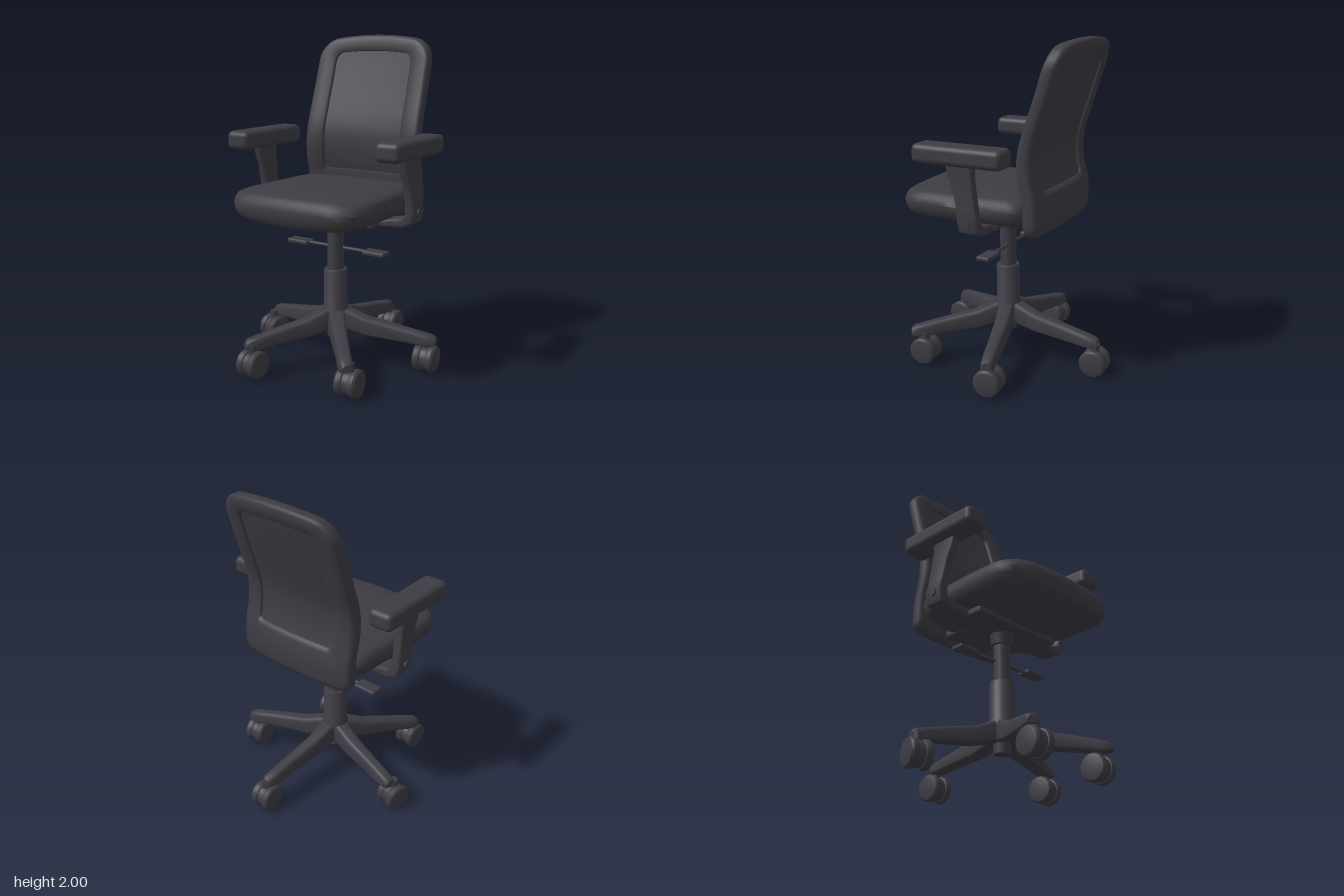
import * as THREE from 'three';
import { toCreasedNormals } from 'three/addons/utils/BufferGeometryUtils.js';
import { RoundedBoxGeometry } from 'three/addons/geometries/RoundedBoxGeometry.js';

const charcoal = new THREE.MeshStandardMaterial({ color: 0x3d3c43 });
charcoal.name = 'charcoal';

function add(parent, name, geometry, x = 0, y = 0, z = 0) {
  const mesh = new THREE.Mesh(geometry, charcoal);
  mesh.name = name;
  mesh.position.set(x, y, z);
  parent.add(mesh);
  return mesh;
}

// Rounded rectangle as a list of [x, y]; radii may differ for the upper and lower corners
function roundRect(x0, x1, y0, y1, rTop, rBottom = rTop, side = 6, corner = 4) {
  const arcs = [[x1 - rTop, y1 - rTop, rTop], [x0 + rTop, y1 - rTop, rTop],
    [x0 + rBottom, y0 + rBottom, rBottom], [x1 - rBottom, y0 + rBottom, rBottom]];
  const at = (k, i) => {
    const [cx, cy, r] = arcs[k % 4], a = (k + i / corner) * Math.PI / 2;
    return [cx + r * Math.cos(a), cy + r * Math.sin(a)];
  };
  const pts = [];
  for (let k = 0; k < 4; k++) {
    for (let i = 0; i <= corner; i++) pts.push(at(k, i));
    const a = at(k, corner), b = at(k + 1, 0);
    for (let i = 1; i < side; i++) {
      const t = i / side;
      pts.push([a[0] + (b[0] - a[0]) * t, a[1] + (b[1] - a[1]) * t]);
    }
  }
  return pts;
}

// Skin over closed rings of [x, y, z]; either looped round or capped at both ends
function loft(rings, looped = false, crease = 0.7) {
  const n = rings[0].length, m = rings.length, pos = rings.flat(2), index = [];
  for (let i = 0; i < (looped ? m : m - 1); i++) {
    for (let j = 0; j < n; j++) {
      const a = i * n + j, b = i * n + (j + 1) % n;
      const c = ((i + 1) % m) * n + j, d = ((i + 1) % m) * n + (j + 1) % n;
      index.push(a, b, d, a, d, c);
    }
  }
  if (!looped) {
    [0, m - 1].forEach((r, e) => {
      const mid = [0, 1, 2].map(k => rings[r].reduce((s, p) => s + p[k], 0) / n);
      const c = pos.length / 3;
      pos.push(...mid);
      for (let j = 0; j < n; j++) {
        const a = r * n + j, b = r * n + (j + 1) % n;
        if (e) index.push(a, b, c); else index.push(b, a, c);
      }
    });
  }
  // Turn the faces outward if the enclosed volume is negative
  const v = i => new THREE.Vector3().fromArray(pos, i * 3);
  let volume = 0;
  for (let i = 0; i < index.length; i += 3) volume += v(index[i]).dot(v(index[i + 1]).cross(v(index[i + 2])));
  if (volume < 0) index.reverse();
  const g = new THREE.BufferGeometry();
  g.setAttribute('position', new THREE.Float32BufferAttribute(pos, 3));
  g.setIndex(index);
  return toCreasedNormals(g, crease);
}

const lathe = (pts, seg = 32) =>
  toCreasedNormals(new THREE.LatheGeometry(pts.map(p => new THREE.Vector2(...p)), seg), 0.6);

// Depth of the backrest at a height and a distance from the middle
const spine = new THREE.SplineCurve([[0.9, -0.288], [1.1, -0.283], [1.22, -0.255], [1.33, -0.245], [1.45, -0.262],
  [1.7, -0.343], [1.9, -0.402], [2.02, -0.425]].map(p => new THREE.Vector2(...p))).getPoints(120);
function backZ(x, y) {
  let i = 1;
  while (i < spine.length - 1 && spine[i].x < y) i++;
  const a = spine[i - 1], b = spine[i];
  return a.y + (b.y - a.y) * (y - a.x) / (b.x - a.x) + 0.015 * (2 * (x / 0.4) ** 2 - 1);
}
// Place a flat backrest point on the curved, crowned and slightly tapered back
function bendBack(x, y, depth) {
  const up = THREE.MathUtils.clamp((y - 1.2) / 0.8, 0, 1);
  const px = x * (1 - 0.035 * up), py = y - 0.04 * (x / 0.4) ** 2 * up;
  return [px, py, backZ(px, py) + depth];
}

function buildBack(parent) {
  const outer = roundRect(-0.405, 0.405, 0.91, 2.0, 0.12, 0.06, 16, 6);
  const inner = roundRect(-0.275, 0.275, 1.165, 1.9, 0.05, 0.03, 16, 6);
  const section = [[0, -0.4], [0, 0.4], [0.05, 0.8], [0.16, 1], [0.5, 1], [0.88, 1], [0.97, 0.85], [1, 0.4],
    [1, -0.4], [0.97, -0.85], [0.88, -1], [0.5, -1], [0.16, -1], [0.05, -0.8]];
  add(parent, 'backFrame', loft(outer.map((o, i) => section.map(([s, d]) =>
    bendBack(o[0] + (inner[i][0] - o[0]) * s, o[1] + (inner[i][1] - o[1]) * s, d * 0.043))), true, 0.9));
  const panel = new THREE.BoxGeometry(0.57, 0.755, 0.05, 10, 24, 1);
  const p = panel.attributes.position;
  for (let i = 0; i < p.count; i++) p.setXYZ(i, ...bendBack(p.getX(i), p.getY(i) + 1.5325, p.getZ(i)));
  panel.computeVertexNormals();
  add(parent, 'backPanel', panel);
}

function buildSeat(parent) {
  // Plan outline, with bowed front and narrower rear
  const plan = roundRect(-0.45, 0.45, -0.24, 0.6, 0.15, 0.09, 10, 6).map(([x, z]) =>
    [x * (1 - 0.07 * THREE.MathUtils.clamp((0.25 - z) / 0.5, 0, 1)), z - 0.04 * (x / 0.45) ** 2 * Math.max(0, z / 0.6)]);
  const layers = [[0.02, 0.935], [0.5, 0.936], [0.85, 0.942], [0.94, 0.957], [0.985, 0.99], [1, 1.03], [0.998, 1.07],
    [0.98, 1.1], [0.95, 1.117], [0.88, 1.128], [0.6, 1.135], [0.3, 1.138], [0.02, 1.139]];
  add(parent, 'seatCushion', loft(layers.map(([s, y]) => plan.map(([px, pz]) => {
    const x = px * s, z = 0.18 + (pz - 0.18) * s, side = (x / 0.45) ** 2;
    const front = Math.max(0, z - 0.35) ** 2;
    return [x, y + (y < 1.04 ? 0.025 : -0.015) * side - (y > 1.04 ? 0.3 : 0) * front, z];
  })), false, 1.2));
}

function buildArmrest(parent, side) {
  const arm = new THREE.Group();
  arm.name = side > 0 ? 'leftArmrest' : 'rightArmrest';
  parent.add(arm);
  // Bracket: x, y, half thickness, half depth, centre z
  const path = [[0.1, 0.925, 0.018, 0.06, 0.05], [0.34, 0.93, 0.022, 0.065, 0.04], [0.46, 0.942, 0.028, 0.065, 0.035],
    [0.505, 0.965, 0.034, 0.065, 0.033], [0.518, 1.01, 0.032, 0.065, 0.035], [0.514, 1.08, 0.028, 0.063, 0.045],
    [0.508, 1.2, 0.028, 0.068, 0.07], [0.505, 1.27, 0.028, 0.08, 0.09], [0.505, 1.34, 0.028, 0.085, 0.095]];
  const rings = path.map(([x, y, t, d, zc], i) => {
    const a = path[Math.max(0, i - 1)], b = path[Math.min(path.length - 1, i + 1)];
    const len = Math.hypot(b[0] - a[0], b[1] - a[1]), nx = (b[1] - a[1]) / len, ny = -(b[0] - a[0]) / len;
    return roundRect(-t, t, -d, d, 0.014, 0.014, 1, 3).map(([u, w]) => [side * (x + nx * u), y + ny * u, zc + w]);
  });
  add(arm, 'armBracket', loft(rings));
  add(arm, 'armPivot', new THREE.CylinderGeometry(0.025, 0.025, 0.02, 24), side * 0.546, 1.005, 0.04).rotation.z = Math.PI / 2;
  add(arm, 'armPad', new RoundedBoxGeometry(0.158, 0.112, 0.565, 5, 0.035), side * 0.512, 1.378, 0.085);
}

function buildLeg(parent, x, z) {
  // Half width, bottom and top along the leg
  const cuts = [[0, 0.06, 0.23, 0.365], [0.1, 0.058, 0.235, 0.36], [0.35, 0.052, 0.2, 0.305], [0.78, 0.045, 0.178, 0.26],
    [0.93, 0.045, 0.168, 0.243], [1.03, 0.042, 0.168, 0.232], [1.07, 0.03, 0.175, 0.218]];
  const len = Math.hypot(x, z - 0.06);
  const leg = add(parent, 'baseLeg', loft(cuts.map(([s, w, y0, y1]) =>
    roundRect(-w, w, y0, y1, 0.025, 0.012, 1, 3).map(([u, y]) => [u * (y > (y0 + y1) / 2 ? 0.85 : 1), y, s * len]))), 0, 0, 0.06);
  leg.rotation.y = Math.atan2(x, z - 0.06);
}

function buildCaster(parent, x, z, yaw) {
  const caster = new THREE.Group();
  caster.name = 'caster';
  caster.position.set(x, 0.083, z);
  caster.rotation.y = yaw;
  parent.add(caster);
  const wheel = lathe([[0, -0.028], [0.062, -0.028], [0.078, -0.02], [0.083, -0.008], [0.083, 0.012], [0.074, 0.024], [0.06, 0.028], [0, 0.028]]);
  for (const s of [-1, 1]) add(caster, 'casterWheel', wheel, s * 0.041).rotation.z = -s * Math.PI / 2;
  add(caster, 'casterHood', new THREE.CylinderGeometry(0.072, 0.072, 0.05, 28)).rotation.z = Math.PI / 2;
  add(caster, 'casterStem', new THREE.CylinderGeometry(0.026, 0.03, 0.08, 16), 0, 0.075, 0);
}

export function createModel() {
  const chair = new THREE.Group();
  chair.name = 'officeChair';

  // Upper part, swivelled very slightly on the column
  const upper = new THREE.Group();
  upper.name = 'seatAssembly';
  upper.position.x = 0.004;
  upper.rotation.y = 0.02;
  chair.add(upper);
  buildBack(upper);
  buildSeat(upper);
  for (const side of [-1, 1]) buildArmrest(upper, side);
  add(upper, 'seatPlate', new RoundedBoxGeometry(0.66, 0.045, 0.23, 3, 0.015), 0, 0.93, 0.08);
  add(upper, 'backSupport', new RoundedBoxGeometry(0.34, 0.05, 0.34, 3, 0.02), 0, 0.955, -0.13);

  // Gas column with its sleeve and collar
  add(chair, 'column', lathe([[0, 0.17], [0.05, 0.17], [0.052, 0.23], [0.085, 0.24], [0.085, 0.35], [0.073, 0.37], [0.073, 0.59],
    [0.068, 0.6], [0.05, 0.6], [0.05, 0.83], [0.062, 0.835], [0.072, 0.9], [0.11, 0.908], [0.11, 0.93], [0, 0.93]]), 0, 0, 0.06);

  // Height levers
  add(chair, 'leverRod', new THREE.CylinderGeometry(0.011, 0.011, 0.5, 12), 0, 0.73, 0.045).rotation.z = Math.PI / 2;
  for (const s of [-1, 1]) {
    add(chair, 'leverPaddle', new RoundedBoxGeometry(0.15, 0.028, 0.085, 3, 0.01), s * 0.277, 0.73, 0.045);
  }

  // Five-legged base: leg tip x, z, caster x, z, caster yaw
  const legs = [[0.025, -0.525, 0.035, -0.55, 0.05], [0.565, -0.11, 0.545, -0.11, 0.12], [0.37, 0.5, 0.36, 0.45, 0.1],
    [-0.28, 0.535, -0.265, 0.548, -0.05], [-0.525, -0.06, -0.55, -0.02, -0.25]];
  for (const [lx, lz, cx, cz, yaw] of legs) {
    buildLeg(chair, lx, lz);
    buildCaster(chair, cx, cz, yaw);
  }
  return chair;
}
